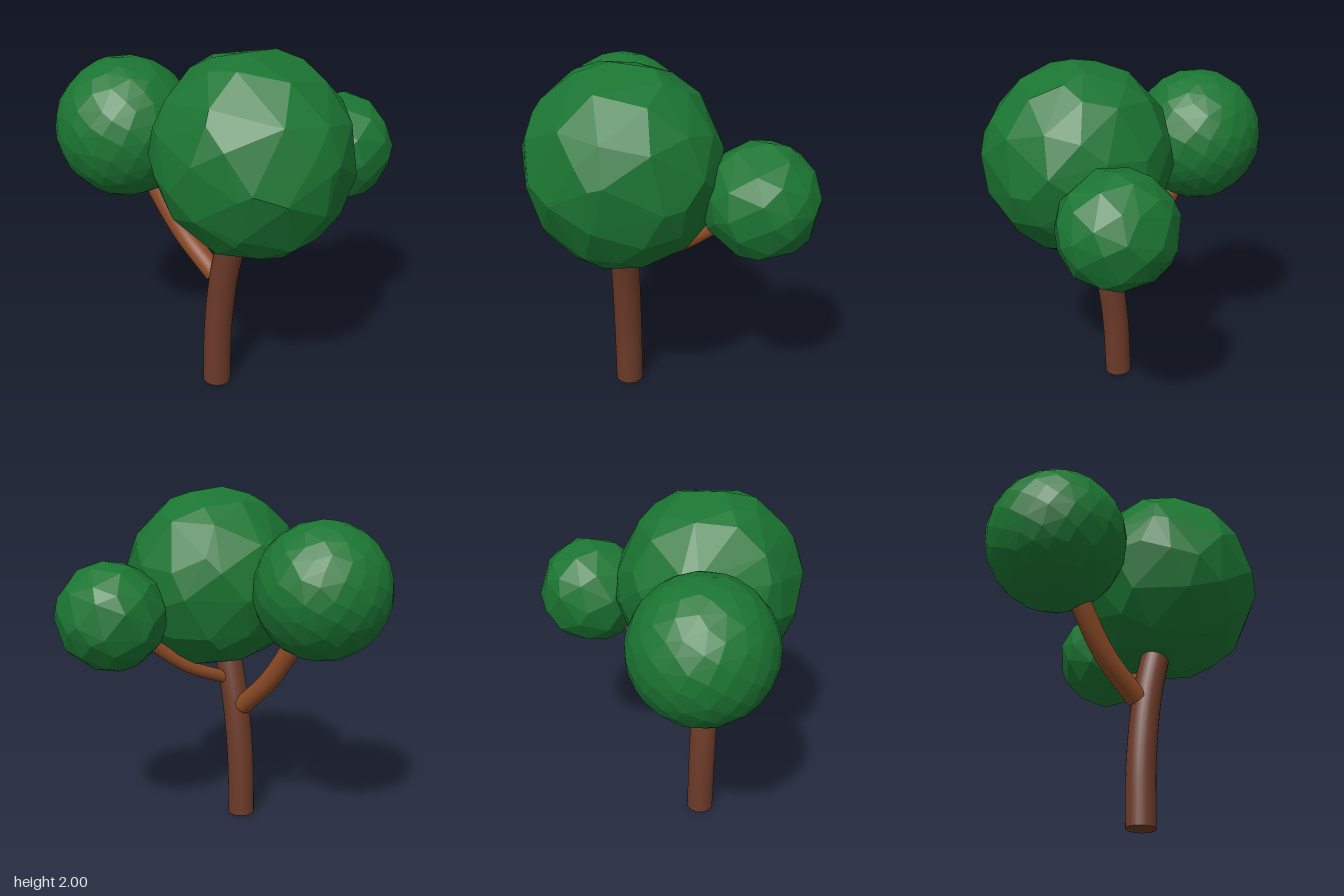
import * as THREE from 'three';
import { ConvexGeometry } from 'three/addons/geometries/ConvexGeometry.js';

const material = (color, flatShading = false) => new THREE.MeshStandardMaterial({ color, flatShading });

// Small seeded generator, so the facets are the same every time
function seeded(seed) {
  return () => {
    seed = (seed * 16807) % 2147483647;
    return seed / 2147483647;
  };
}

// Faceted leaf clump: hull of unevenly spread points on a ball, fitted to a box
function foliage(name, min, max, count, jitter, seed, mat) {
  const random = seeded(seed);
  const points = [];
  for (let i = 0; i < count; i++) {
    const y = 1 - (2 * (i + 0.5)) / count;
    const r = Math.sqrt(1 - y * y);
    const a = i * Math.PI * (3 - Math.sqrt(5));
    const p = new THREE.Vector3(r * Math.cos(a), y, r * Math.sin(a));
    p.x += (random() - 0.5) * jitter;
    p.y += (random() - 0.5) * jitter;
    p.z += (random() - 0.5) * jitter;
    points.push(p.setLength(1 - random() * jitter * 0.08));
  }
  const box = new THREE.Box3().setFromPoints(points);
  const size = box.getSize(new THREE.Vector3());
  const low = new THREE.Vector3(...min);
  const span = new THREE.Vector3(...max).sub(low);
  points.forEach((p) => p.sub(box.min).divide(size).multiply(span).add(low));
  const mesh = new THREE.Mesh(new ConvexGeometry(points), mat);
  mesh.name = name;
  return mesh;
}

// Round curved limb with closed ends
function limb(name, path, radius, mat) {
  const group = new THREE.Group();
  group.name = name;
  const curve = new THREE.CatmullRomCurve3(path.map((p) => new THREE.Vector3(...p)));
  group.add(new THREE.Mesh(new THREE.TubeGeometry(curve, 24, radius, 24), mat));
  for (const [t, sign] of [[0, -1], [1, 1]]) {
    const cap = new THREE.Mesh(new THREE.CircleGeometry(radius, 24), mat);
    const out = curve.getTangent(t).multiplyScalar(sign);
    cap.quaternion.setFromUnitVectors(new THREE.Vector3(0, 0, 1), out);
    cap.position.copy(curve.getPoint(t));
    group.add(cap);
  }
  group.children.forEach((m, i) => { m.name = name + (i ? 'End' : 'Wood'); });
  return group;
}

export function createModel() {
  const tree = new THREE.Group();
  tree.name = 'tree';
  const bark = material(0x6b3a28);
  const branchBark = material(0x8b4a24);
  const leaves = material(0x1b7532, true);

  // Trunk and two branches
  tree.add(limb('trunk', [[0.09, 0, 0.27], [0.103, 0.36, 0.27], [0.145, 0.7, 0.27], [0.205, 0.95, 0.27], [0.24, 1.06, 0.27]], 0.08, bark));
  tree.add(limb('sideBranch', [[0.085, 0.705, 0.27], [-0.13, 0.91, 0.285], [-0.295, 1.16, 0.31], [-0.34, 1.25, 0.32]], 0.058, branchBark));
  tree.add(limb('backBranch', [[0.19, 0.87, 0.22], [0.25, 0.97, -0.02], [0.32, 1.12, -0.22], [0.35, 1.22, -0.33]], 0.038, branchBark));

  // Leaf clumps
  tree.add(foliage('mainFoliage', [-0.215, 0.92, -0.27], [0.845, 2, 0.765], 80, 0.32, 17, leaves));
  tree.add(foliage('sideFoliage', [-0.85, 1.095, -0.05], [-0.09, 1.86, 0.72], 190, 0.1, 91, leaves));
  tree.add(foliage('backFoliage', [0.07, 1.005, -0.77], [0.705, 1.625, -0.16], 60, 0.25, 53, leaves));
  return tree;
}
